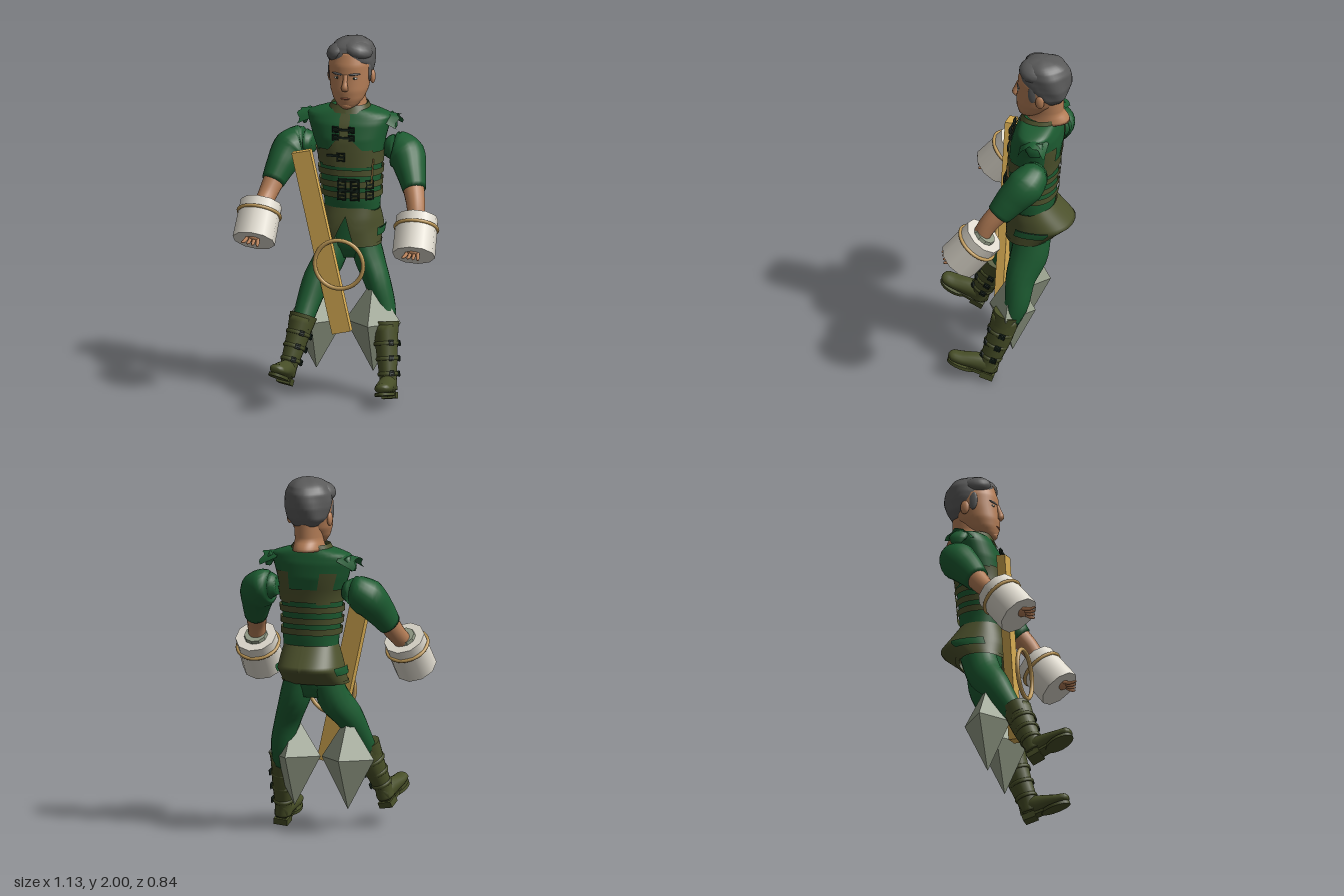
import * as THREE from 'three';

const mat = (name, color, extra = {}) => {
  const m = new THREE.MeshStandardMaterial({ color, ...extra });
  m.name = name;
  return m;
};

// Grid surface from f(u, v); u runs around, v runs upward
function surface(f, nu, nv, closed = true) {
  const pos = [], idx = [], w = closed ? nu : nu + 1;
  for (let j = 0; j <= nv; j++)
    for (let i = 0; i < w; i++) pos.push(...f(i / nu, j / nv));
  for (let j = 0; j < nv; j++)
    for (let i = 0; i < nu; i++) {
      const a = j * w + i, b = j * w + (i + 1) % w;
      idx.push(a, b, b + w, a, b + w, a + w);
    }
  if (closed) for (const j of [0, nv]) {
    const c = [0, 0, 0], n = pos.length / 3;
    for (let i = 0; i < w; i++) for (let k = 0; k < 3; k++) c[k] += pos[(j * w + i) * 3 + k] / w;
    pos.push(...c);
    for (let i = 0; i < nu; i++) {
      const a = j * w + i, b = j * w + (i + 1) % w;
      idx.push(...(j ? [a, b, n] : [b, a, n]));
    }
  }
  const g = new THREE.BufferGeometry();
  g.setAttribute('position', new THREE.Float32BufferAttribute(pos, 3));
  g.setIndex(idx);
  g.computeVertexNormals();
  return g;
}

// Point on a stack of horizontal ovals [y, cx, cz, rx, rz]; angle 0 is the front
function onRings(rings, y, a, off = 0, e = 0.88) {
  let i = 0;
  while (i < rings.length - 2 && y > rings[i + 1][0]) i++;
  const t = THREE.MathUtils.clamp((y - rings[i][0]) / (rings[i + 1][0] - rings[i][0]), 0, 1);
  const [, cx, cz, rx, rz] = rings[i].map((v, k) => v + (rings[i + 1][k] - v) * t);
  const p = v => Math.sign(v) * Math.abs(v) ** e;
  return [cx + (rx + off) * p(Math.sin(a)), y, cz + (rz + off) * p(Math.cos(a))];
}
const stack = (rings, nv = 24, wave = () => 0, e = 0.95) => surface((u, v) => {
  const a = u * 2 * Math.PI, y = rings[0][0] + v * (rings.at(-1)[0] - rings[0][0]);
  return onRings(rings, y, a, wave(a, y), e);
}, 40, nv);
const patch = (rings, a0, a1, lo, hi, off, nu = 32, nv = 4) => surface((u, v) => {
  const a = a0 + u * (a1 - a0);
  return onRings(rings, lo(a) + v * (hi(a) - lo(a)), a, off);
}, nu, nv, false);

// Tapered tube through [x, y, z, side radius, depth radius]
function limb(pts, nu = 16, nv = 14) {
  const curve = new THREE.CatmullRomCurve3(pts.map(p => new THREE.Vector3(...p.slice(0, 3))));
  return surface((u, v) => {
    const k = Math.min(v * (pts.length - 1), pts.length - 1.0001), i = Math.floor(k), t = k - i;
    const ra = pts[i][3] + (pts[i + 1][3] - pts[i][3]) * t;
    const d = p => p[4] ?? p[3], rb = d(pts[i]) + (d(pts[i + 1]) - d(pts[i])) * t;
    const dir = curve.getTangent(v), right = new THREE.Vector3(1, 0, 0);
    right.addScaledVector(dir, -right.dot(dir)).normalize();
    const fwd = right.clone().cross(dir), a = u * 2 * Math.PI;
    return curve.getPoint(v).addScaledVector(right, Math.sin(a) * ra).addScaledVector(fwd, Math.cos(a) * rb).toArray();
  }, nu, nv);
}

export function createModel() {
  const root = new THREE.Group();
  const two = { side: THREE.DoubleSide };
  const green = mat('green cloth', 0x1c5b31, two), olive = mat('olive leather', 0x4c512c, two);
  const boot = mat('boot leather', 0x474e27), skin = mat('skin', 0xb57e57), hair = mat('grey hair', 0x5a5a5a);
  const white = mat('off white', 0xdfdace), wood = mat('wood', 0xdaae54);
  const cord = mat('tan ring', 0xc09a58), stone = mat('grey stone', 0x939c87, { flatShading: true });
  const dark = mat('dark metal', 0x15221a);
  const add = (name, g, m, p = [0, 0, 0], parent = root) => {
    const o = new THREE.Mesh(g, m);
    o.name = name;
    o.position.set(...p);
    parent.add(o);
    return o;
  };
  const box = (x, y, z) => new THREE.BoxGeometry(x, y, z);
  const ball = (name, r, s, p, m, parent) => {
    const o = add(name, new THREE.SphereGeometry(r, 16, 12), m, p, parent);
    o.scale.set(...s);
    return o;
  };
  const buckle = (p, r, parent = root, turn = 0) => {
    const b = add('buckle', new THREE.TorusGeometry(r, 0.007, 4, 4).rotateZ(Math.PI / 4), dark, p, parent);
    b.rotation.y = turn;
    add('bucklePin', box(r * 1.6, 0.009, 0.01), dark, [0, 0, 0], b);
  };

  // Tunic with belts and panels
  const torso = [[1.045, 0.028, -0.182, 0.152, 0.118], [1.1, 0.028, -0.18, 0.156, 0.126], [1.2, 0.022, -0.178, 0.163, 0.132],
    [1.35, 0.018, -0.188, 0.176, 0.136], [1.45, 0.008, -0.2, 0.204, 0.14], [1.53, 0.005, -0.21, 0.228, 0.128],
    [1.575, 0.005, -0.217, 0.235, 0.11], [1.6, 0.005, -0.22, 0.165, 0.1], [1.615, 0.005, -0.22, 0.09, 0.09]];
  add('tunic', stack(torso, 48, () => 0, 0.88), green);
  const band = (name, lo, hi, off) => add(name, patch(torso, 0, 2 * Math.PI, () => lo, () => hi, off, 48, 2), olive);
  band('upperBelt', 1.31, 1.385, 0.008);
  for (const y of [1.125, 1.185, 1.25]) band('belt', y, y + 0.036, 0.012);
  add('chestPanel', patch(torso, -0.85, 0.85, () => 1.3, a => 1.395 + 0.09 * Math.max(0, 1 - Math.abs(a) / 0.45), 0.007), olive);
  add('placket', patch(torso, -0.09, 0.09, () => 1.4, () => 1.59, 0.008, 6, 8), olive);
  for (const s of [-1, 1]) add('backPanel', patch(torso, Math.PI + s * 0.4, Math.PI + s * 0.95, () => 1.3, () => 1.48, 0.005, 10), olive);
  const collar = [[1.58, 0.005, -0.215, 0.13, 0.112], [1.635, 0.005, -0.225, 0.1, 0.1]];
  add('collar', patch(collar, 0, 2 * Math.PI, () => 1.59, () => 1.632, 0, 32, 2), olive);
  for (const y of [1.465, 1.51]) {
    for (const x of [-0.045, 0.045]) buckle([x + 0.005, y, -0.058], 0.019);
    add('claspBar', box(0.06, 0.012, 0.01), dark, [0.005, y, -0.056]);
  }
  buckle([-0.005, 1.36, -0.035], 0.028);
  add('beltTongue', box(0.07, 0.012, 0.01), dark, [-0.05, 1.365, -0.043]);
  for (const y of [1.142, 1.202]) {
    for (const x of [0, 0.075, 0.15]) buckle([x, y, x > 0.1 ? -0.075 : -0.034], 0.03, root, x > 0.1 ? 0.6 : 0);
    add('beltTongue', box(0.12, 0.012, 0.01), dark, [0.04, y + 0.03, -0.037]);
  }
  add('slantedPin', box(0.007, 0.14, 0.008), cord, [0.165, 1.28, -0.075]).rotation.z = -0.08;

  // Hip skirt, notched at the front, with pockets
  const hips = [[0.85, 0.005, -0.165, 0.182, 0.132], [0.94, 0.01, -0.22, 0.18, 0.19], [1.0, 0.018, -0.2, 0.168, 0.16],
    [1.07, 0.025, -0.182, 0.15, 0.122]];
  const hem = a => 0.85 + 0.17 * Math.max(0, 1 - Math.abs(a) / 0.3);
  add('hipSkirt', patch(hips, -Math.PI, Math.PI, hem, () => 1.065, 0, 64, 12), olive);
  add('hemTrim', patch(hips, -Math.PI, Math.PI, hem, a => hem(a) + 0.018, 0.005, 64, 2), olive);
  for (const s of [-1, 1]) {
    add('pocket', patch(hips, s * 1.1, s * 2.0, () => 0.905, () => 0.95, 0.012, 10, 3), green);
    add('pocketFlap', patch(hips, s * 1.15, s * 1.95, () => 0.943, () => 0.948, 0.016, 10, 1), dark);
  }

  // Trousers
  add('pelvis', stack([[0.77, 0.01, -0.18, 0.08, 0.07], [0.84, 0.01, -0.18, 0.14, 0.1], [1.06, 0.02, -0.18, 0.14, 0.1]], 12), green);
  add('leftTrouserLeg', limb([[0.235, 0.36, -0.1, 0.05], [0.222, 0.48, -0.138, 0.06, 0.068], [0.178, 0.63, -0.15, 0.072, 0.084],
    [0.122, 0.76, -0.185, 0.084, 0.106], [0.085, 0.9, -0.2, 0.08, 0.1]]), green);
  add('rightTrouserLeg', limb([[-0.2, 0.42, 0.085, 0.055], [-0.178, 0.53, 0.015, 0.066], [-0.145, 0.65, -0.06, 0.076, 0.085],
    [-0.09, 0.76, -0.14, 0.086, 0.1], [-0.06, 0.9, -0.19, 0.08, 0.1]]), green);

  // Strapped boots
  const makeBoot = (name, p, rot, h) => {
    const g = new THREE.Group();
    g.name = name;
    g.position.set(...p);
    g.rotation.set(...rot);
    root.add(g);
    add('bootShaft', limb([[0, -0.06, -0.005, 0.048, 0.056], [0, 0, 0, 0.047, 0.055], [0, h * 0.5, -0.005, 0.06, 0.07],
      [0, h, 0, 0.07, 0.08]]), boot, [0, 0, 0], g);
    add('bootCuff', new THREE.CylinderGeometry(0.077, 0.068, 0.075, 20), boot, [0, h - 0.02, 0], g);
    add('foot', limb([[0, -0.066, 0.22, 0.02, 0.014], [0, -0.058, 0.203, 0.043, 0.028], [0, -0.052, 0.15, 0.052, 0.034],
      [0, -0.038, 0.08, 0.05, 0.046], [0, -0.03, 0.01, 0.048, 0.058], [0, -0.04, -0.045, 0.036, 0.05]]), boot, [0, 0, 0], g);
    add('sole', new THREE.CylinderGeometry(1, 1, 0.018, 20), boot, [0, -0.088, 0.136], g).scale.set(0.054, 1, 0.085);
    add('heel', box(0.08, 0.035, 0.075), boot, [0, -0.088, -0.015], g);
    add('instep', box(0.07, 0.015, 0.1), boot, [0, -0.085, 0.06], g);
    for (let i = 0; i < 3; i++) {
      const y = 0.03 + i * h * 0.28, r = 0.052 + i * 0.006;
      const strap = add('bootStrap', new THREE.TorusGeometry(r, 0.006, 6, 20).rotateX(Math.PI / 2), boot, [0, y, 0], g);
      strap.scale.set(1, 2, 1.12);
      buckle([r + 0.004, y, -0.02], 0.018, g, Math.PI / 2);
      buckle([r * 0.6, y, r * 0.9 + 0.004], 0.014, g, 0.6);
    }
  };
  makeBoot('leftBoot', [0.272, 0.12, 0], [-0.29, 0.04, 0.12], 0.3);
  makeBoot('rightBoot', [-0.245, 0.22, 0.187], [-0.41, -0.04, -0.2], 0.27);

  // Arms, shoulder flaps, wrist drums and fingers
  for (const s of [-1, 1]) {
    const side = s > 0 ? 'left' : 'right', c = s > 0 ? [0.44, 0.96, 0.06] : [-0.443, 1.0, 0.1];
    add(side + 'Sleeve', limb([[s * 0.4, 1.185, -0.085, 0.064, 0.07], [s * 0.366, 1.27, -0.15, 0.084, 0.09], [s * 0.325, 1.345, -0.215, 0.106, 0.106],
      [s * 0.27, 1.376, -0.24, 0.098, 0.09], [s * 0.2, 1.38, -0.235, 0.05, 0.05]], 20, 20), green);
    add(side + 'Forearm', limb([[c[0], c[1] + 0.04, c[2] - 0.03, 0.046], [s * 0.42, 1.12, -0.03, 0.052], [s * 0.385, 1.22, -0.11, 0.062]]), skin);
    // Frayed flap: a thin, drooping sheet with a ragged outer edge
    add(side + 'ShoulderFlap', surface((u, v) => {
      const fray = 0.01 * Math.sin(u * 19) * v, q = 2 * u - 1;
      return [s * (0.18 + (0.1 + fray) * v), 1.585 - 0.07 * q * q * (0.5 + 0.5 * v) - 0.012 * v, -0.235 + 0.075 * q];
    }, 16, 6, false), green);
    add(side + 'FlapFold', limb([[s * 0.255, 1.495, -0.25, 0.01, 0.03], [s * 0.245, 1.53, -0.245, 0.02, 0.05],
      [s * 0.22, 1.56, -0.24, 0.028, 0.05]], 10, 8), green);
    const g = new THREE.Group();
    g.name = side + 'Wrist';
    g.position.set(...c);
    g.quaternion.setFromUnitVectors(new THREE.Vector3(0, 1, 0), new THREE.Vector3(-s * 0.05, 0.79, -0.61).normalize());
    root.add(g);
    add('wristDrum', new THREE.CylinderGeometry(0.116, 0.119, 0.225, 10), white, [0, 0, 0], g);
    add('drumCollar', new THREE.CylinderGeometry(0.062, 0.068, 0.025, 10), stone, [0, 0.118, 0], g);
    add('wristRing', new THREE.TorusGeometry(0.117, 0.01, 8, 32).rotateX(Math.PI / 2), cord, [0, 0.05, 0], g);
    ball('knuckles', 0.035, [1.1, 0.6, 0.9], [0, -0.11, 0.03], skin, g);
    for (let i = 0; i < 4; i++) {
      const x = (i - 1.5) * 0.018;
      add('finger', limb([[x * 1.5, -0.165, 0.095 - i * 0.012, 0.006], [x * 1.3, -0.148, 0.068 - i * 0.008, 0.01], [x, -0.1, 0.03, 0.011]], 8, 6), skin, [0, 0, 0], g);
    }
  }

  // Neck and head
  add('neck', stack([[1.6, 0.005, -0.255, 0.085, 0.128], [1.62, 0.005, -0.26, 0.08, 0.118], [1.66, 0.008, -0.255, 0.074, 0.093], [1.78, 0.008, -0.26, 0.08, 0.09]], 12), skin);
  const skull = [[1.615, 0.008, -0.15, 0.03, 0.035], [1.632, 0.008, -0.158, 0.055, 0.06], [1.67, 0.008, -0.178, 0.085, 0.09], [1.72, 0.008, -0.2, 0.105, 0.117],
    [1.79, 0.008, -0.22, 0.116, 0.13], [1.86, 0.008, -0.23, 0.12, 0.137], [1.93, 0.008, -0.23, 0.1, 0.115]];
  add('head', stack(skull, 28), skin);
  add('nose', limb([[0.008, 1.728, -0.082, 0.018, 0.01], [0.008, 1.745, -0.074, 0.02, 0.018], [0.008, 1.775, -0.082, 0.013, 0.014], [0.008, 1.815, -0.093, 0.012, 0.01]], 12), skin);
  ball('mouth', 0.028, [1, 0.2, 0.22], [0.008, 1.68, -0.089], mat('lip', 0x94583f));
  ball('chin', 0.03, [1.1, 0.8, 0.8], [0.008, 1.637, -0.118], skin);
  for (const s of [-1, 1]) {
    const x = 0.008 + s * 0.048;
    ball('eye', 0.018, [1, 0.36, 0.35], [x, 1.795, -0.104], white);
    ball('iris', 0.007, [1, 0.9, 0.5], [x, 1.795, -0.099], dark);
    const brow = ball('eyebrow', 0.034, [1, 0.2, 0.22], [x, 1.817, -0.104], hair);
    brow.rotation.set(0, s * 0.35, s * 0.06);
    ball('ear', 0.036, [0.4, 1.1, 0.7], [0.008 + s * 0.12, 1.775, -0.245], skin);
    ball('sideburn', 0.05, [0.18, 1.1, 0.5], [0.008 + s * 0.112, 1.815, -0.2], hair);
  }
  // Swept, wavy hair with a soft lobe on each side of the parting
  add('hair', stack([[1.74, 0.01, -0.3, 0.075, 0.045], [1.78, 0.01, -0.29, 0.112, 0.085], [1.84, 0.01, -0.265, 0.126, 0.126], [1.875, 0.01, -0.25, 0.128, 0.14],
    [1.92, 0.012, -0.247, 0.125, 0.138], [1.96, 0.016, -0.242, 0.105, 0.118], [1.985, 0.022, -0.238, 0.074, 0.084], [1.997, 0.026, -0.235, 0.03, 0.035]], 28,
  (a, y) => 0.004 * Math.sin(5 * a + 22 * y)), hair);
  ball('hairSweep', 0.08, [1.1, 0.68, 1.15], [0.05, 1.935, -0.2], hair).rotation.z = -0.25;
  ball('hairSweep', 0.07, [0.95, 0.72, 1.15], [-0.055, 1.92, -0.195], hair).rotation.z = 0.4;

  // Leaning plank, hoop and two stone spikes
  add('plank', box(0.107, 1.043, 0.048), wood, [-0.101, 0.886, 0.008]).rotation.z = 0.2215;
  add('hoop', new THREE.TorusGeometry(0.137, 0.012, 10, 40), cord, [0.008, 0.775, 0.063]);
  for (const x of [-0.157, 0.163]) {
    const g = new THREE.OctahedronGeometry(1), p = g.attributes.position;
    for (let i = 0; i < p.count; i++)
      p.setXYZ(i, p.getX(i) * 0.157, p.getY(i) * (p.getY(i) > 0 ? 0.235 : 0.285), p.getZ(i) * 0.132);
    g.computeVertexNormals();
    add('stoneSpike', g, stone, [x, 0.42, -0.1]);
  }
  return root;
}
